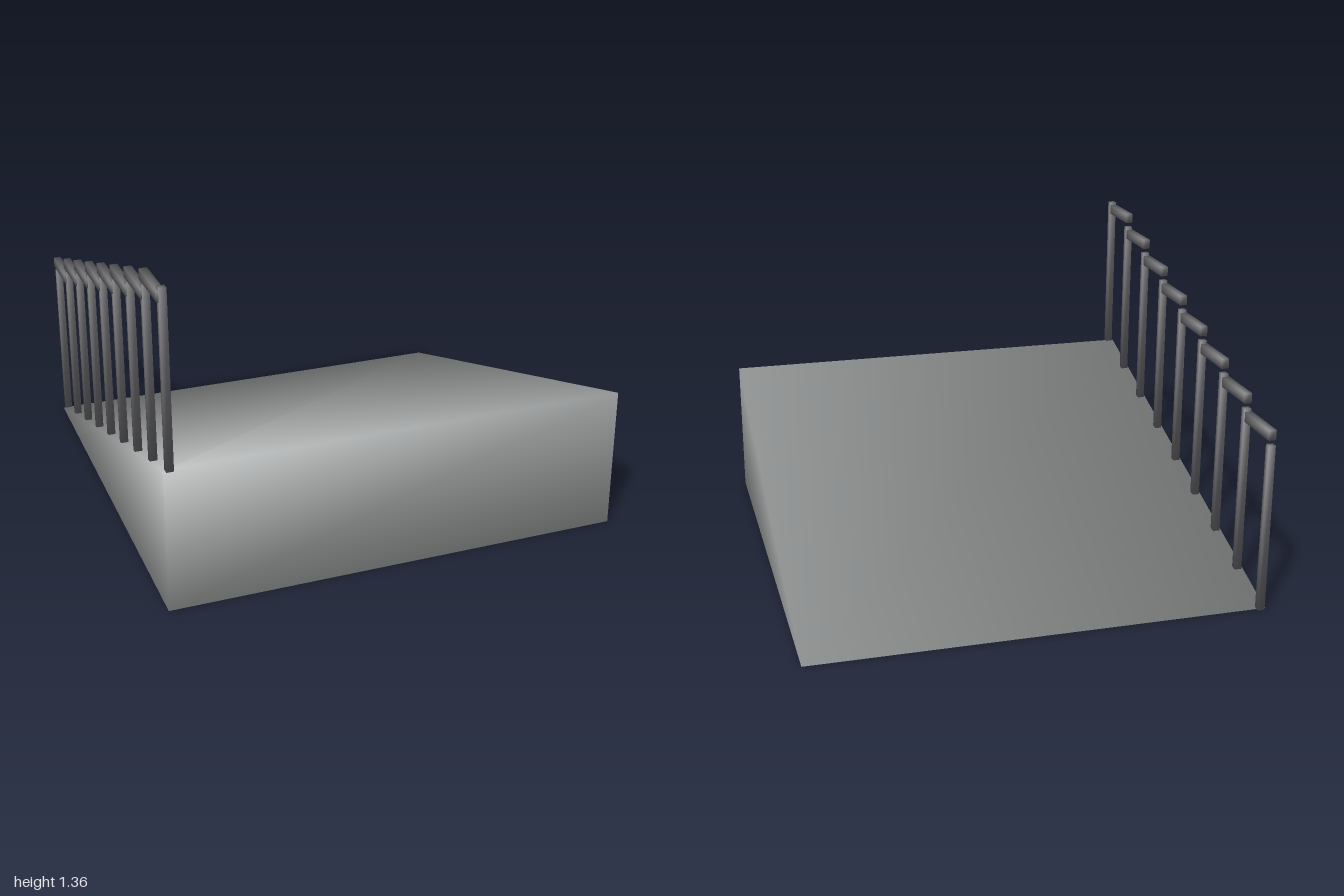
import * as THREE from 'three';
import { mergeVertices } from 'three/addons/utils/BufferGeometryUtils.js';

const HALF = 0.985;      // half the ramp's width and depth
const RISE = 0.615;      // ramp height at the front
const POSTS = 9;
const POST_H = 0.74;
const STEP = (2 * HALF) / (POSTS - 1);

const rampMaterial = new THREE.MeshStandardMaterial({ color: 0xa6a9a9 });
const railMaterial = new THREE.MeshStandardMaterial({ color: 0x626266 });

// Sets smooth normals on shared corners, each face weighted by its corner angle
function smoothNormals(geometry) {
  const position = geometry.attributes.position;
  const index = geometry.index;
  const normals = Array.from({ length: position.count }, () => new THREE.Vector3());
  const triangle = new THREE.Triangle();
  const faceNormal = new THREE.Vector3();
  for (let f = 0; f < index.count; f += 3) {
    const ids = [0, 1, 2].map((k) => index.getX(f + k));
    triangle.setFromAttributeAndIndices(position, ...ids);
    triangle.getNormal(faceNormal);
    const p = [triangle.a, triangle.b, triangle.c];
    ids.forEach((id, k) => {
      const u = p[(k + 1) % 3].clone().sub(p[k]);
      const v = p[(k + 2) % 3].clone().sub(p[k]);
      normals[id].addScaledVector(faceNormal, u.angleTo(v));
    });
  }
  const values = normals.flatMap((n) => n.normalize().toArray());
  geometry.setAttribute('normal', new THREE.Float32BufferAttribute(values, 3));
  return geometry;
}

// Box with shared, smoothly shaded corners
function smoothBox(width, height, depth) {
  const box = new THREE.BoxGeometry(width, height, depth);
  box.deleteAttribute('normal');
  box.deleteAttribute('uv');
  return smoothNormals(mergeVertices(box));
}

// Wedge: a triangular prism falling from front to back
function wedgeGeometry() {
  const g = new THREE.BufferGeometry();
  g.setAttribute('position', new THREE.Float32BufferAttribute([
    -HALF, 0, HALF, HALF, 0, HALF,          // front bottom
    -HALF, RISE, HALF, HALF, RISE, HALF,    // front top
    -HALF, 0, -HALF, HALF, 0, -HALF,        // back edge
  ], 3));
  g.setIndex([
    0, 1, 3, 0, 3, 2,   // front
    2, 3, 5, 2, 5, 4,   // slope
    0, 4, 5, 0, 5, 1,   // bottom
    0, 2, 4, 1, 5, 3,   // sides
  ]);
  return smoothNormals(g);
}

function addMesh(parent, name, geometry, material, x, y, z) {
  const mesh = new THREE.Mesh(geometry, material);
  mesh.name = name;
  mesh.position.set(x, y, z);
  parent.add(mesh);
}

export function createModel() {
  const model = new THREE.Group();
  model.name = 'rampWithRailing';
  addMesh(model, 'ramp', wedgeGeometry(), rampMaterial, 0, 0, 0);

  // Railing along the right edge: posts stepping down, a level bar after each
  const railing = new THREE.Group();
  railing.name = 'railing';
  model.add(railing);
  const post = smoothBox(0.03, POST_H, 0.03);
  const bar = smoothBox(0.033, 0.044, 0.258);
  for (let i = 0; i < POSTS; i++) {
    const z = HALF - i * STEP;
    const ground = RISE * (1 - i / (POSTS - 1));
    addMesh(railing, `post${i + 1}`, post, railMaterial, -0.96, ground + POST_H / 2, z);
    if (i < POSTS - 1) {
      addMesh(railing, `handrail${i + 1}`, bar, railMaterial, -0.964, ground + POST_H - 0.036, z - STEP / 2 + 0.003);
    }
  }
  return model;
}
